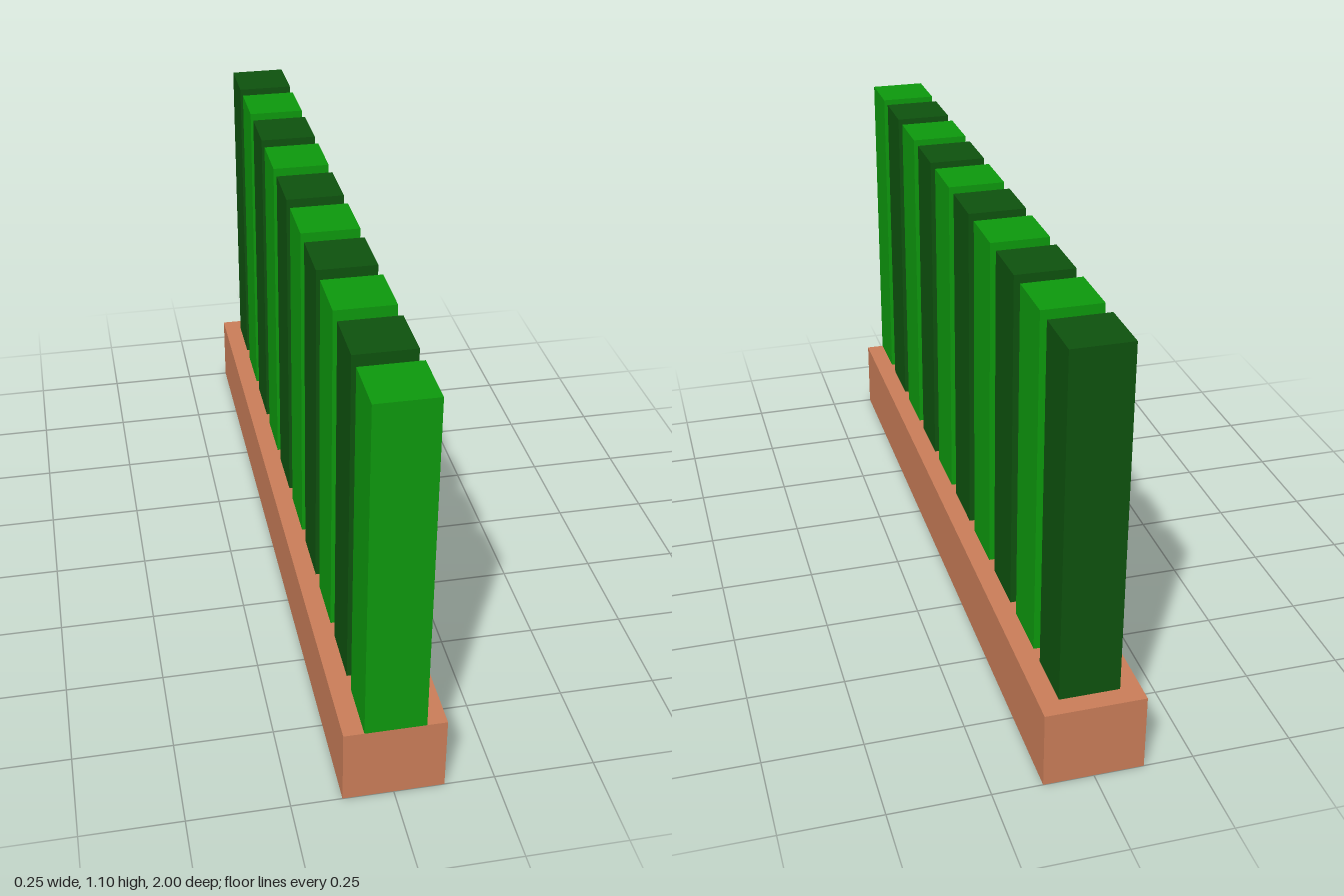
import * as THREE from 'three';

// Box without its underside, standing on its own y = 0
function openBox(width, height, depth) {
  const geometry = new THREE.BoxGeometry(width, height, depth);
  const index = Array.from(geometry.index.array);
  index.splice(18, 6); // drop the downward face
  geometry.setIndex(index);
  geometry.clearGroups();
  geometry.translate(0, height / 2, 0);
  return geometry;
}

function makeMaterial(name, color) {
  const material = new THREE.MeshStandardMaterial({ color, side: THREE.DoubleSide });
  material.name = name;
  return material;
}

export function createModel() {
  const model = new THREE.Group();
  model.name = 'slatHedge';
  const terracotta = makeMaterial('terracotta', 0xc97d58);
  const brightGreen = makeMaterial('brightGreen', 0x0d980d);
  const darkGreen = makeMaterial('darkGreen', 0x0e520e);

  // Long hollow base, open underneath
  const baseHeight = 0.2;
  const base = new THREE.Mesh(openBox(0.25, baseHeight, 2), terracotta);
  base.name = 'base';
  model.add(base);

  // Ten posts in alternating greens, starting flush with the front end
  const postGeometry = openBox(0.15, 0.9, 0.15);
  const posts = new THREE.Group();
  posts.name = 'posts';
  for (let i = 0; i < 10; i++) {
    const post = new THREE.Mesh(postGeometry, i % 2 ? darkGreen : brightGreen);
    post.name = `post${i + 1}`;
    post.position.set(0, baseHeight, 0.925 - i * 0.2);
    posts.add(post);
  }
  model.add(posts);
  return model;
}
